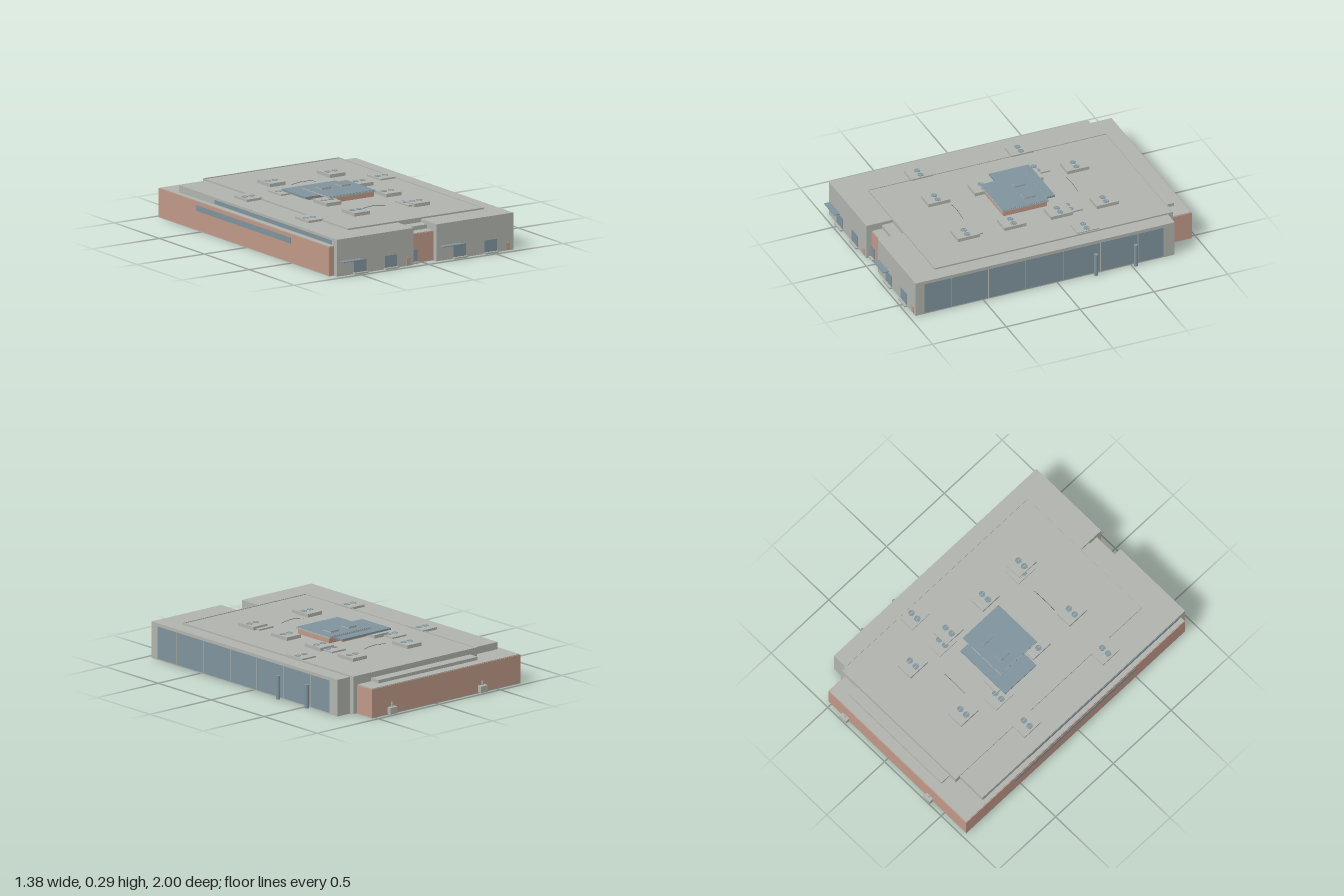
import * as THREE from 'three';

export function createModel() {
  const model = new THREE.Group();
  const make = (name, color) => {
    const m = new THREE.MeshStandardMaterial({ color });
    m.name = name;
    return m;
  };
  const grey = make('concrete', 0xb0b3ad);
  const blue = make('blueGlass', 0x7f929c);
  const brick = make('brick', 0xbf9888);
  const dark = make('darkMetal', 0x555a5b);

  // Box given by its extents on each axis
  const box = (name, mat, x0, x1, y0, y1, z0, z1, parent = model) => {
    const mesh = new THREE.Mesh(new THREE.BoxGeometry(x1 - x0, y1 - y0, z1 - z0), mat);
    mesh.position.set((x0 + x1) / 2, (y0 + y1) / 2, (z0 + z1) / 2);
    mesh.name = name;
    parent.add(mesh);
    return mesh;
  };
  const cylinder = (name, mat, r, h, x, y, z, parent = model) => {
    const mesh = new THREE.Mesh(new THREE.CylinderGeometry(r, r, h, 16), mat);
    mesh.position.set(x, y + h / 2, z);
    mesh.name = name;
    parent.add(mesh);
    return mesh;
  };

  // Ground slabs
  box('brickBase', grey, -0.69, 0.525, 0, 0.004, -0.97, 0.925);
  box('hallBase', grey, -0.655, 0.655, 0, 0.004, -0.795, 0.925);

  // Low brick wing along the back and left, with a roof inside its parapet
  box('brickWing', brick, -0.69, 0.525, 0.004, 0.185, -0.97, 0.925);
  box('brickWingRoof', grey, -0.685, 0.52, 0.185, 0.189, -0.965, 0.92);

  // Main hall, with two front blocks either side of the entrance recess
  box('mainHall', grey, -0.655, 0.655, 0.004, 0.235, -0.795, 0.785);
  for (const s of [-1, 1]) {
    const [a, b] = s < 0 ? [-0.655, -0.085] : [0.085, 0.655];
    box('frontBlock', grey, a, b, 0, 0.235, 0.785, 0.96);
  }
  box('entranceUpperStep', grey, -0.085, 0.085, 0.185, 0.215, 0.785, 0.855);
  box('backCore', grey, -0.455, 0.555, 0.004, 0.235, -0.83, -0.795);
  box('backStep', grey, -0.4, 0.41, 0.185, 0.21, -0.9, -0.83);

  // Raised roof deck with a thin rim
  box('roofDeck', grey, -0.455, 0.555, 0.235, 0.24, -0.83, 0.785);
  for (const [a, b, c, d] of [
    [-0.455, 0.555, -0.83, -0.824], [-0.455, 0.555, 0.779, 0.785],
    [-0.455, -0.449, -0.824, 0.779], [0.549, 0.555, -0.824, 0.779],
  ]) box('deckRim', grey, a, b, 0.24, 0.245, c, d);

  // Glazed right side with mullions
  box('sideGlazing', blue, 0.654, 0.657, 0.008, 0.215, -0.72, 0.9);
  for (let i = 0; i < 6; i++) {
    const z = 0.72 - i * 0.253;
    box('mullion', grey, 0.656, 0.659, 0.008, 0.215, z - 0.002, z + 0.002);
  }
  for (const z of [-0.525, -0.255]) cylinder('sideColumn', blue, 0.013, 0.15, 0.673, 0, z);

  // Ribbon windows on the left
  box('ribbonWindow', blue, -0.693, -0.689, 0.125, 0.162, -0.55, 0.5);
  box('clerestory', blue, -0.658, -0.654, 0.195, 0.22, -0.4, 0.9);

  // Front windows, sills, doors and canopies
  for (const x of [-0.485, -0.255, 0.255, 0.485]) {
    box('frontWindow', blue, x - 0.045, x + 0.045, 0.01, 0.086, 0.958, 0.964);
    box('windowSill', grey, x - 0.05, x + 0.05, 0, 0.01, 0.95, 0.98);
  }
  box('entranceWindow', blue, -0.085, -0.035, 0.01, 0.086, 0.923, 0.929);
  box('entranceSill', grey, -0.085, -0.035, 0, 0.01, 0.92, 0.945);
  for (const x of [-0.125, 0.617]) box('frontDoor', brick, x - 0.013, x + 0.013, 0.006, 0.052, 0.958, 0.964);
  for (const x of [-0.561, 0.179]) box('frontCanopy', blue, x - 0.075, x + 0.075, 0.092, 0.097, 0.955, 1);

  // Service boxes and vent pipes at the back
  for (const x of [-0.37, 0.37]) {
    box('serviceBox', grey, x - 0.028, x + 0.028, 0.008, 0.05, -1, -0.965);
    cylinder('ventPipe', grey, 0.005, 0.03, x, 0.05, -0.98);
  }

  // Twin-fan rooftop units: x, z, top
  const units = [
    [-0.175, -0.49, 0.262], [0.27, -0.49, 0.262], [-0.175, -0.18, 0.262], [0.27, -0.18, 0.262],
    [-0.175, 0.135, 0.262], [0.27, 0.135, 0.262], [-0.175, 0.45, 0.262], [0.27, 0.45, 0.262],
    [-0.5, -0.26, 0.25], [-0.25, -0.26, 0.25], [0.245, -0.26, 0.25], [0.49, -0.26, 0.25],
    [-0.5, 0.42, 0.25], [0.245, 0.42, 0.25],
  ];
  for (const [x, z, top] of units) {
    const unit = new THREE.Group();
    unit.name = 'roofUnit';
    box('unitCasing', grey, x - 0.057, x + 0.057, 0.233, top, z - 0.074, z + 0.074, unit);
    for (const s of [-1, 1]) {
      const fx = x + s * 0.026;
      cylinder('unitFan', blue, 0.02, 0.002, fx, top, z, unit);
      box('fanBar', grey, fx - 0.0015, fx + 0.0015, top + 0.001, top + 0.003, z - 0.02, z + 0.02, unit);
    }
    model.add(unit);
  }

  // Shallow arched fins on the deck
  for (const z of [-0.393, 0.385]) {
    const curve = new THREE.QuadraticBezierCurve3(
      new THREE.Vector3(-0.09, 0.241, z), new THREE.Vector3(0, 0.262, z), new THREE.Vector3(0.09, 0.241, z));
    const fin = new THREE.Mesh(new THREE.TubeGeometry(curve, 16, 0.0015, 6), dark);
    fin.name = 'archedFin';
    model.add(fin);
  }

  // Central rooftop pavilion
  box('pavilionWalls', brick, -0.11, 0.165, 0.24, 0.27, -0.15, 0.145);
  box('pavilionRearWalls', brick, -0.23, 0.08, 0.24, 0.262, -0.18, 0.0);
  box('lowerPavilionRoof', blue, -0.275, 0.12, 0.262, 0.274, -0.225, 0.045);
  box('upperRoofEdge', grey, -0.17, 0.17, 0.272, 0.282, -0.16, 0.155);
  box('upperPavilionRoof', blue, -0.168, 0.168, 0.282, 0.284, -0.158, 0.153);
  for (const x of [-0.075, 0.072]) {
    box('skylightCurb', grey, x - 0.033, x + 0.033, 0.284, 0.293, -0.098, -0.024);
    box('skylight', blue, x - 0.033, x + 0.033, 0.293, 0.295, -0.098, -0.024);
  }
  return model;
}
